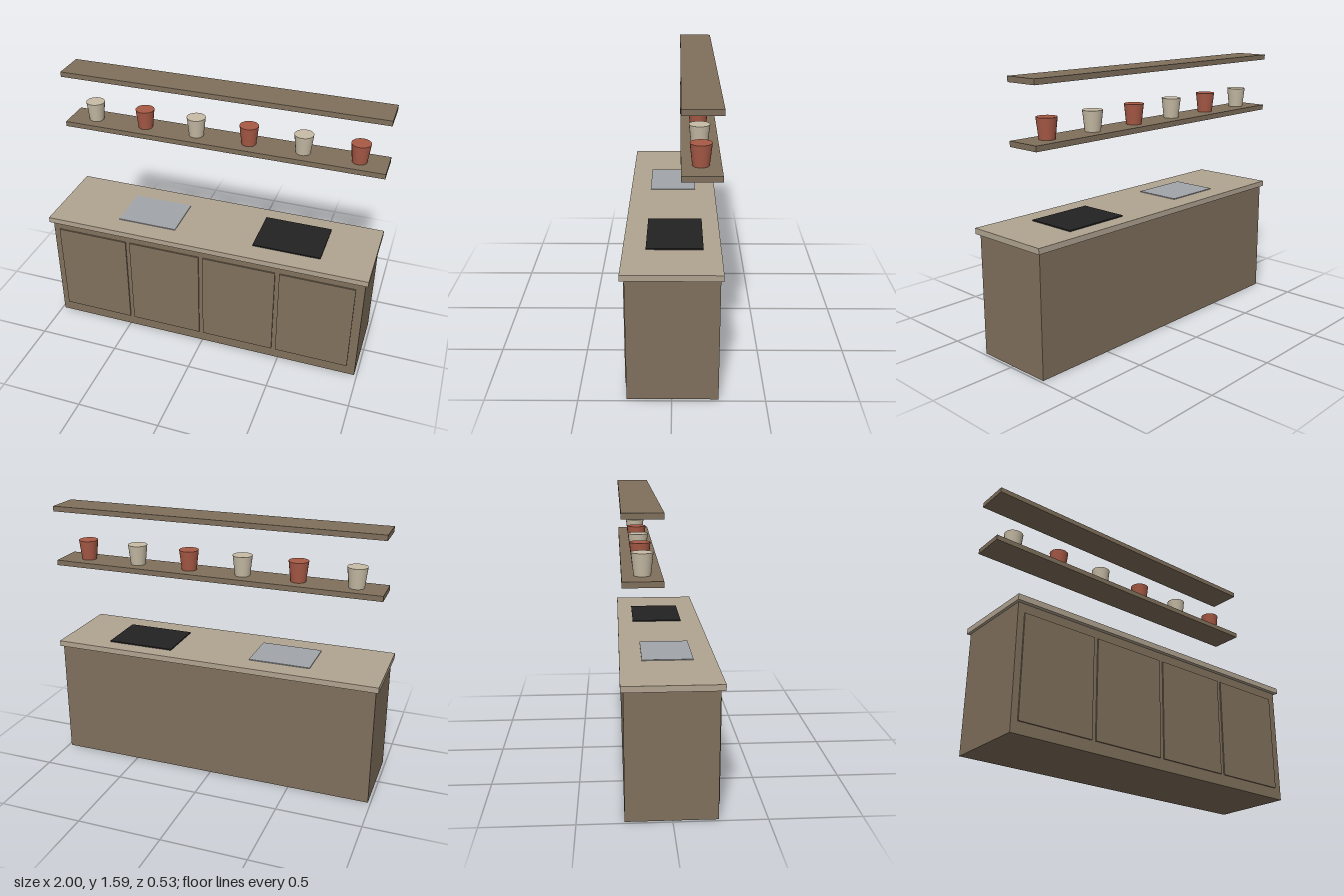
import * as THREE from 'three';

const mat = (name, color) => {
  const m = new THREE.MeshStandardMaterial({ color });
  m.name = name;
  return m;
};

export function createModel() {
  const group = new THREE.Group();
  const wood = mat('brown wood', 0x80705c);
  const stone = mat('beige stone', 0xb1a491);
  const steel = mat('grey steel', 0xa2a6ab);
  const glass = mat('black glass', 0x222222);
  const cream = mat('cream ceramic', 0xc8bca6);
  const clay = mat('terracotta', 0xa85a46);

  // Box given by its minimum and maximum corners
  const box = (name, material, [x0, y0, z0], [x1, y1, z1]) => {
    const mesh = new THREE.Mesh(new THREE.BoxGeometry(x1 - x0, y1 - y0, z1 - z0), material);
    mesh.position.set((x0 + x1) / 2, (y0 + y1) / 2, (z0 + z1) / 2);
    mesh.name = name;
    group.add(mesh);
  };

  // Base cabinet and worktop
  box('cabinet', wood, [-0.984, 0, -0.25], [0.984, 0.71, 0.241]);
  box('worktop', stone, [-1, 0.71, -0.265], [1, 0.744, 0.265]);

  // Four thin door panels
  for (let i = 0; i < 4; i++) {
    const x = -0.945 + i * 0.476;
    box('door' + (i + 1), wood, [x, 0.067, 0.241], [x + 0.45, 0.657, 0.249]);
  }

  // Sink cover and hob lying on the worktop
  box('sink', steel, [-0.577, 0.744, -0.142], [-0.207, 0.749, 0.141]);
  box('hob', glass, [0.285, 0.744, -0.169], [0.697, 0.751, 0.141]);

  // Two wall shelves
  for (const [name, y] of [['lowerShelf', 1.234], ['upperShelf', 1.563]]) {
    box(name, wood, [-0.984, y, -0.25], [0.984, y + 0.031, -0.045]);
  }

  // Tapered cups in alternating colours on the lower shelf
  const cupGeometry = new THREE.CylinderGeometry(0.057, 0.044, 0.117, 24);
  for (let i = 0; i < 6; i++) {
    const cup = new THREE.Mesh(cupGeometry, i % 2 ? clay : cream);
    cup.position.set(-0.82 + i * 0.328, 1.265 + 0.0585, -0.145);
    cup.name = 'cup' + (i + 1);
    group.add(cup);
  }

  return group;
}
